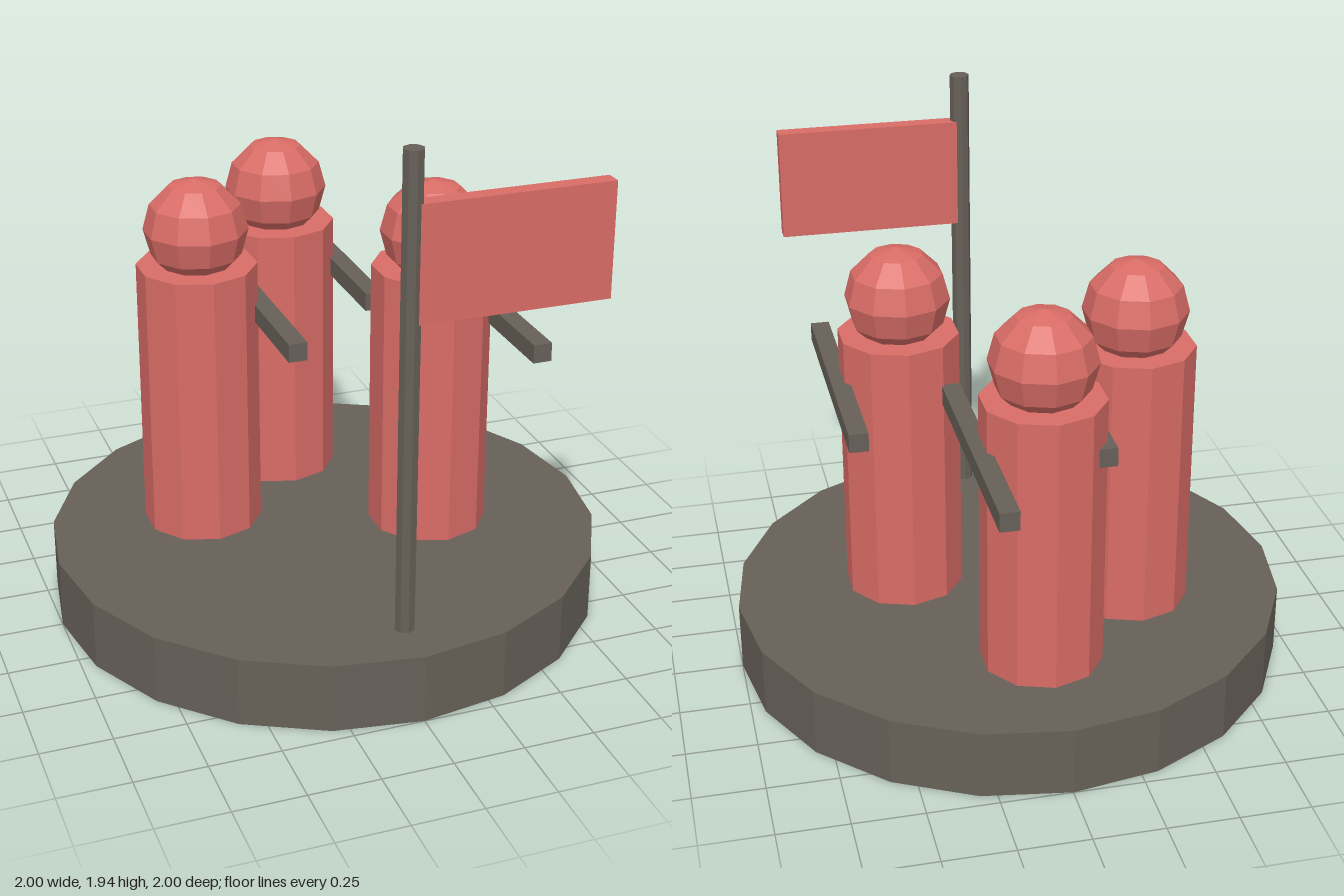
import * as THREE from 'three';

const red = new THREE.MeshStandardMaterial({ color: 0xd96c66, flatShading: true });
const grey = new THREE.MeshStandardMaterial({ color: 0x666057, flatShading: true });

function add(parent, name, geometry, material, x, y, z) {
  const mesh = new THREE.Mesh(geometry, material);
  mesh.name = name;
  mesh.position.set(x, y, z);
  parent.add(mesh);
  return mesh;
}

export function createModel() {
  const model = new THREE.Group();
  model.name = 'figureGroupOnBase';

  // Round base
  add(model, 'base', new THREE.CylinderGeometry(1, 1, 0.25, 20), grey, 0, 0.125, 0);

  // Figures, each with a body, a head and a long bar held at its left side
  const bodyGeometry = new THREE.CylinderGeometry(0.215, 0.215, 1, 10);
  const headGeometry = new THREE.SphereGeometry(0.186, 10, 6).rotateY(Math.PI / 2);
  const barGeometry = new THREE.BoxGeometry(0.067, 0.067, 0.935);
  for (const [x, z] of [[0, -0.532], [-0.408, -0.193], [0.373, 0.092]]) {
    const figure = new THREE.Group();
    figure.name = 'figure';
    figure.position.set(x, 0.25, z);
    add(figure, 'body', bodyGeometry, red, 0, 0.5, 0);
    add(figure, 'head', headGeometry, red, 0, 1.13, 0);
    add(figure, 'bar', barGeometry, grey, 0.218, 0.817, 0);
    model.add(figure);
  }

  // Flag on its pole at the front
  add(model, 'flagPole', new THREE.CylinderGeometry(0.036, 0.036, 1.69, 8), grey, 0, 1.095, 0.81);
  add(model, 'flag', new THREE.BoxGeometry(0.675, 0.402, 0.058), red, 0.3475, 1.565, 0.81);

  return model;
}
